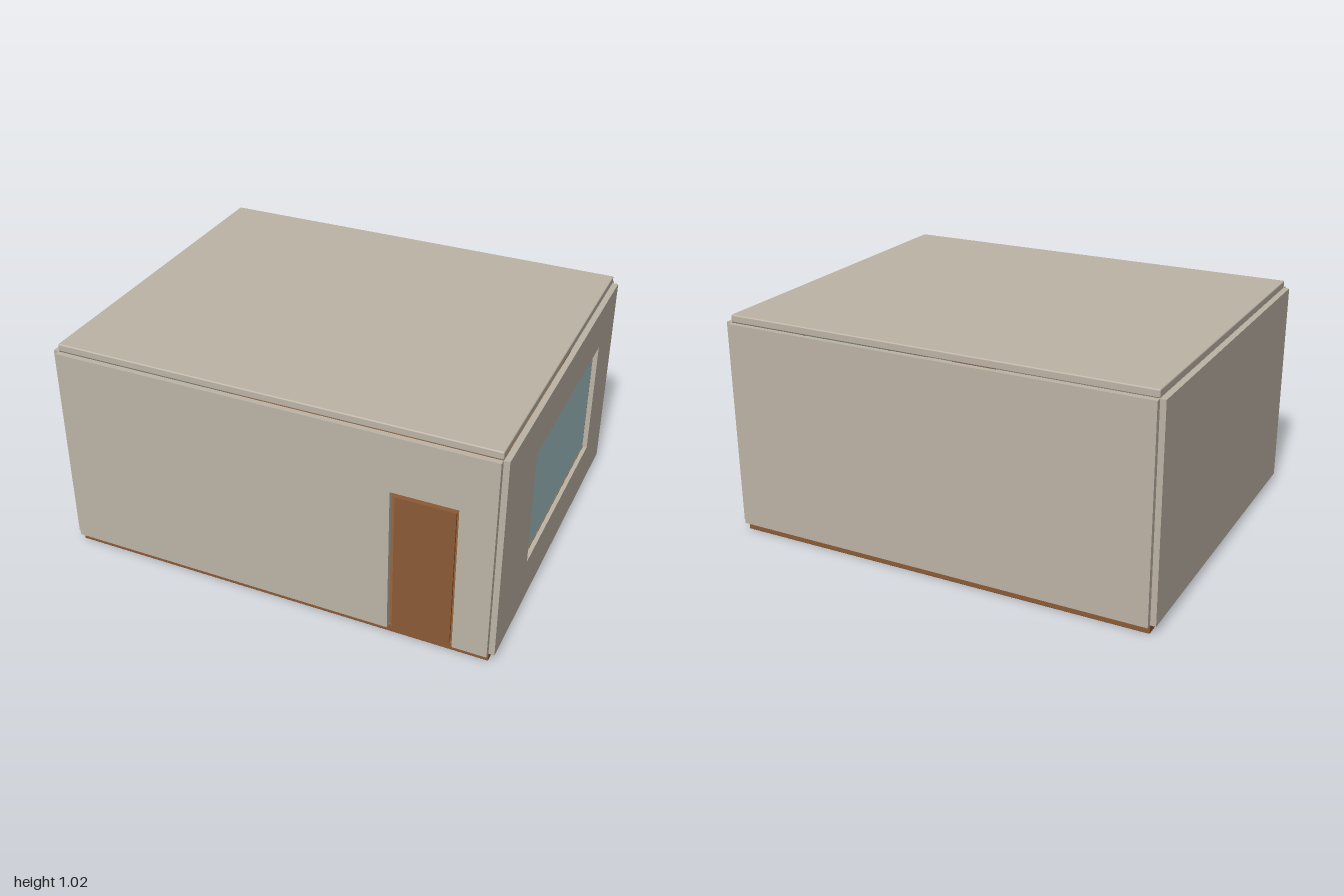
import * as THREE from 'three';
import { RoundedBoxGeometry } from 'three/addons/geometries/RoundedBoxGeometry.js';

const mat = (color) => new THREE.MeshStandardMaterial({ color });

export function createModel() {
  const model = new THREE.Group();
  const plaster = mat(0xbdb4a6), wood = mat(0x8b5a35), lightWood = mat(0xa87748);
  const glass = mat(0xa6c4c8), dark = mat(0x2e2e2e);

  // Box given by its min and max on each axis; radius rounds the edges
  function box(name, [x0, x1], [y0, y1], [z0, z1], material, parent = model, radius = 0) {
    const size = [x1 - x0, y1 - y0, z1 - z0];
    const geo = radius ? new RoundedBoxGeometry(...size, 2, radius) : new THREE.BoxGeometry(...size);
    const mesh = new THREE.Mesh(geo, material);
    mesh.name = name;
    mesh.position.set((x0 + x1) / 2, (y0 + y1) / 2, (z0 + z1) / 2);
    parent.add(mesh);
  }
  const group = (name) => {
    const g = new THREE.Group();
    g.name = name;
    model.add(g);
    return g;
  };

  const X = 0.975, Z = 0.793, T = 0.025; // inner half sizes and wall thickness
  const wallY = [0.04, 0.985];

  // Floor and roof slabs
  box('floor', [-X, X], [0, 0.04], [-Z, Z], wood, model, 0.004);
  box('roof', [-X, X], [0.985, 1.02], [-Z, Z], plaster, model, 0.006);

  // Plain walls
  box('backWall', [-X, X], wallY, [-Z - T, -Z], plaster);
  box('rightWall', [-X - T, -X], wallY, [-Z, Z], plaster);

  // Front wall around the doorway
  const front = group('frontWall'), fz = [Z, Z + T];
  box('frontWallMain', [-X, 0.54], wallY, fz, plaster, front);
  box('frontWallCorner', [0.825, X], wallY, fz, plaster, front);
  box('doorLintel', [0.54, 0.825], [0.73, 0.985], fz, plaster, front);

  // Window wall around the opening
  const side = group('windowWall'), sx = [X, X + T];
  box('windowWallFront', sx, wallY, [0.41, Z], plaster, side);
  box('windowWallBack', sx, wallY, [-Z, -0.53], plaster, side);
  box('windowHeader', sx, [0.785, 0.985], [-0.53, 0.41], plaster, side);
  box('windowApron', sx, [0.04, 0.24], [-0.53, 0.41], plaster, side);

  // Door leaf, a little smaller than its opening
  box('door', [0.555, 0.81], [0.045, 0.7], [Z, Z + 0.01], wood);

  // Window pane with a thin dark frame and a wooden sill
  const win = group('window'), wx = [X - 0.005, X + 0.003];
  box('windowPane', [X, X + 0.004], [0.245, 0.78], [-0.524, 0.404], glass, win);
  for (const z of [-0.53, 0.404]) box('windowFrameSide', wx, [0.24, 0.785], [z, z + 0.006], dark, win);
  box('windowFrameTop', wx, [0.779, 0.785], [-0.53, 0.41], dark, win);
  box('windowSill', [X - 0.005, X + 0.006], [0.238, 0.245], [-0.53, 0.41], lightWood, win);

  // Bookcase against the back wall, glimpsed through the gaps round the door
  const shelf = group('bookcase'), bz = [-Z, -Z + 0.14];
  for (const x of [0.5, 0.8]) box('bookcaseSide', [x, x + 0.015], [0.04, 0.76], bz, wood, shelf);
  for (let i = 0; i < 6; i++) {
    const y = 0.045 + i * 0.14;
    box('bookcaseShelf', [0.515, 0.8], [y, y + 0.015], bz, lightWood, shelf);
  }
  box('bookcaseBack', [0.515, 0.8], [0.04, 0.76], [-Z, -Z + 0.01], lightWood, shelf);
  return model;
}
